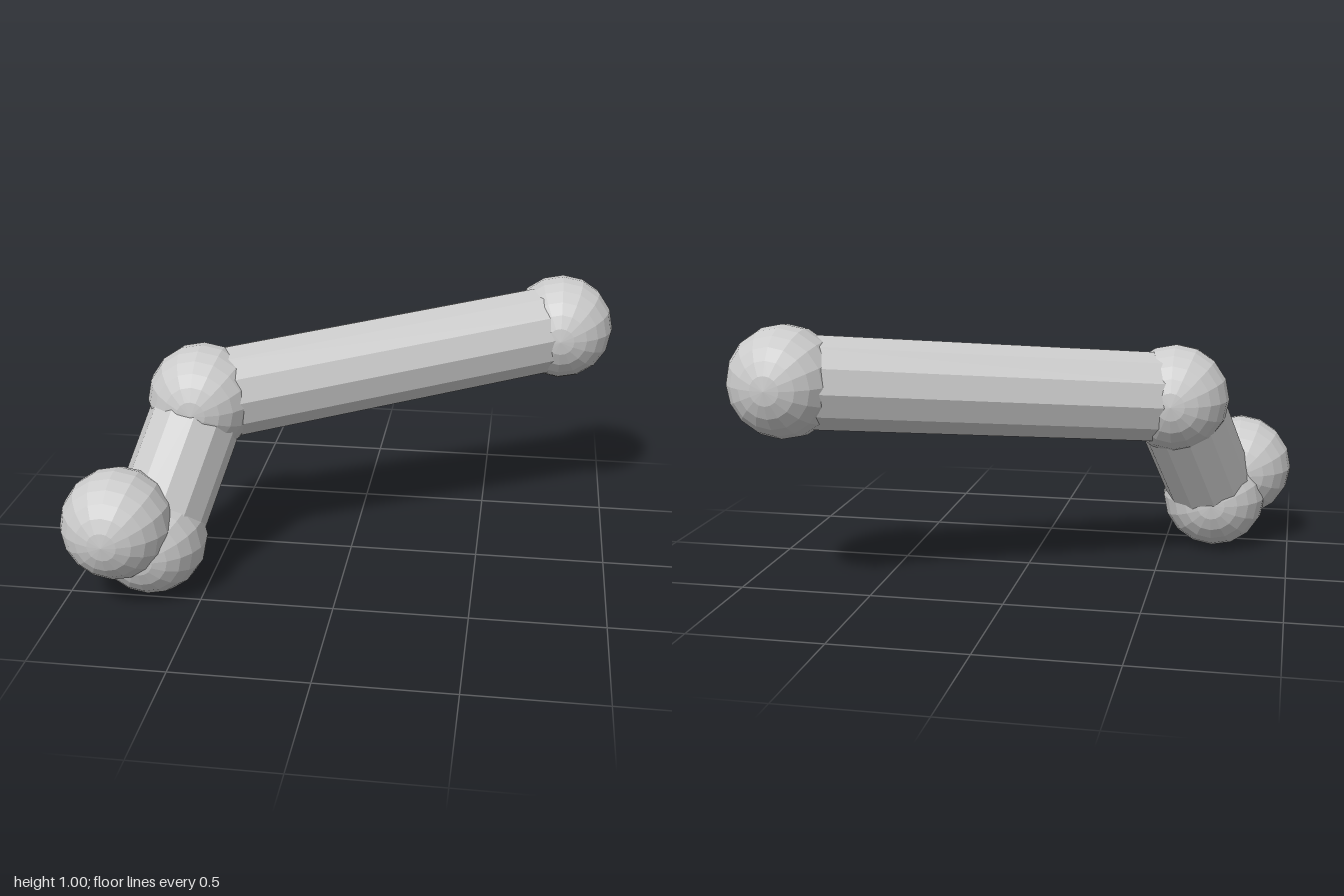
import * as THREE from 'three';

const material = new THREE.MeshStandardMaterial({ color: 0xcccccc, flatShading: true });

// Joint centres along the chain, from the high end to the low end
const joints = [
  ['endJoint', 0.79, 0.796, -0.525],
  ['middleJoint', -0.553, 0.665, 0.12],
  ['lowerJoint', -0.696, 0.208, 0.424],
  ['tipJoint', -0.793, 0.313, 0.525],
];
const rodNames = ['longRod', 'shortRod', 'tipRod'];
const JOINT_RADIUS = 0.208;
const ROD_RADIUS = 0.176;

// Faceted rod spanning two joint centres
function rod(name, from, to) {
  const along = to.clone().sub(from);
  const mesh = new THREE.Mesh(
    new THREE.CylinderGeometry(ROD_RADIUS, ROD_RADIUS, along.length(), 12), material);
  mesh.name = name;
  mesh.position.copy(from).add(to).multiplyScalar(0.5);
  mesh.quaternion.setFromUnitVectors(new THREE.Vector3(0, 1, 0), along.normalize());
  return mesh;
}

export function createModel() {
  const model = new THREE.Group();
  model.name = 'jointedArm';

  // Ball joints, with their poles facing front and back
  const ball = new THREE.SphereGeometry(JOINT_RADIUS, 16, 12).rotateX(Math.PI / 2);
  const centres = joints.map(([name, x, y, z]) => {
    const mesh = new THREE.Mesh(ball, material);
    mesh.name = name;
    mesh.position.set(x, y, z);
    model.add(mesh);
    return mesh.position;
  });

  // Rods linking neighbouring joints
  rodNames.forEach((name, i) => model.add(rod(name, centres[i], centres[i + 1])));
  return model;
}
